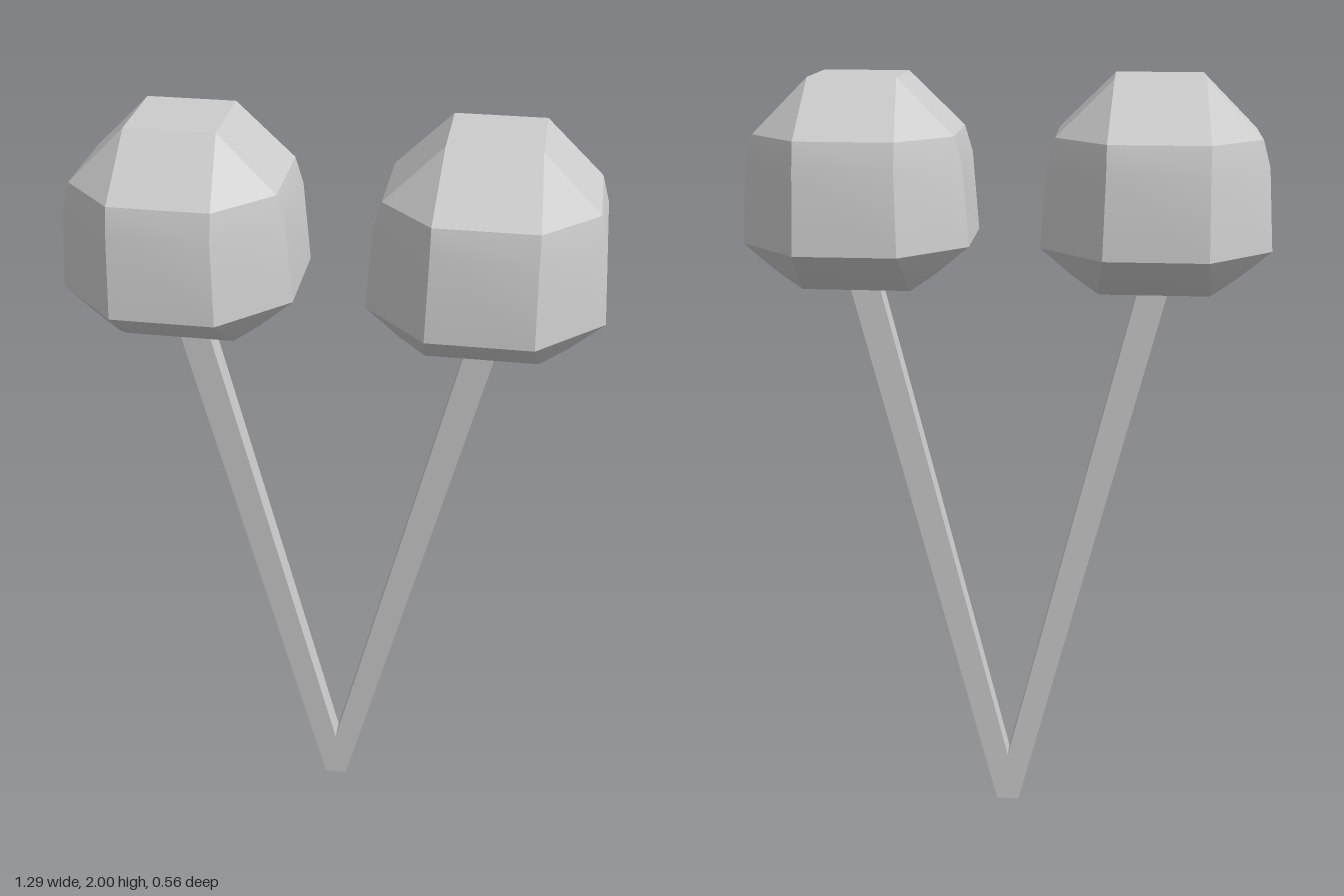
import * as THREE from 'three';
import { toCreasedNormals } from 'three/addons/utils/BufferGeometryUtils.js';

const material = new THREE.MeshStandardMaterial({ color: 0xcccccc });

// Octagonal rings from bottom to top: [height, half width, half length of the straight sides].
// Where both halves are equal the octagon closes up into a square.
const FRUIT_RINGS = [
  [1.49, 0.135, 0.135],
  [1.535, 0.2, 0.132],
  [1.6, 0.28, 0.125],
  [1.8, 0.265, 0.12],
  [1.865, 0.246, 0.12],
  [2.0, 0.108, 0.108],
];

function fruitGeometry() {
  const rings = FRUIT_RINGS.map(([y, h, f]) =>
    [[h, f], [f, h], [-f, h], [-h, f], [-h, -f], [-f, -h], [f, -h], [h, -f]]
      .map(([x, z]) => new THREE.Vector3(x, y, z)));
  const positions = [];
  const triangle = (a, b, c) => {
    // Skip the triangles that collapse at the corners of a square ring
    if (a.equals(b) || b.equals(c) || c.equals(a)) return;
    for (const p of [a, b, c]) positions.push(p.x, p.y, p.z);
  };

  // Side facets
  for (let r = 0; r < rings.length - 1; r++) {
    for (let i = 0; i < 8; i++) {
      const j = (i + 1) % 8;
      const low = rings[r], high = rings[r + 1];
      triangle(low[i], high[i], high[j]);
      triangle(low[i], high[j], low[j]);
    }
  }
  // Square caps
  const bottom = rings[0], top = rings[rings.length - 1];
  for (const [a, b] of [[2, 4], [4, 6]]) {
    triangle(bottom[0], bottom[a], bottom[b]);
    triangle(top[0], top[b], top[a]);
  }

  const geometry = new THREE.BufferGeometry();
  geometry.setAttribute('position', new THREE.Float32BufferAttribute(positions, 3));
  return toCreasedNormals(geometry, 0.42);
}

function stemGeometry() {
  // Forked outline with a square cross-section
  const outline = [
    [-0.03, 0], [0.03, 0], [0.402, 1.47], [0.326, 1.47],
    [0, 0.14], [-0.326, 1.47], [-0.402, 1.47],
  ].map(([x, y]) => new THREE.Vector2(x, y));
  const depth = 0.056;
  const geometry = new THREE.ExtrudeGeometry(new THREE.Shape(outline), { depth, bevelEnabled: false });
  return geometry.translate(0, 0, -depth / 2);
}

export function createModel() {
  const model = new THREE.Group();
  model.name = 'twinCherries';

  const stem = new THREE.Mesh(stemGeometry(), material);
  stem.name = 'forkedStem';
  model.add(stem);

  // One fruit above each end of the stem
  const geometry = fruitGeometry();
  for (const [name, side] of [['leftCherry', 1], ['rightCherry', -1]]) {
    const cherry = new THREE.Mesh(geometry, material);
    cherry.name = name;
    cherry.position.x = side * 0.367;
    model.add(cherry);
  }
  return model;
}
